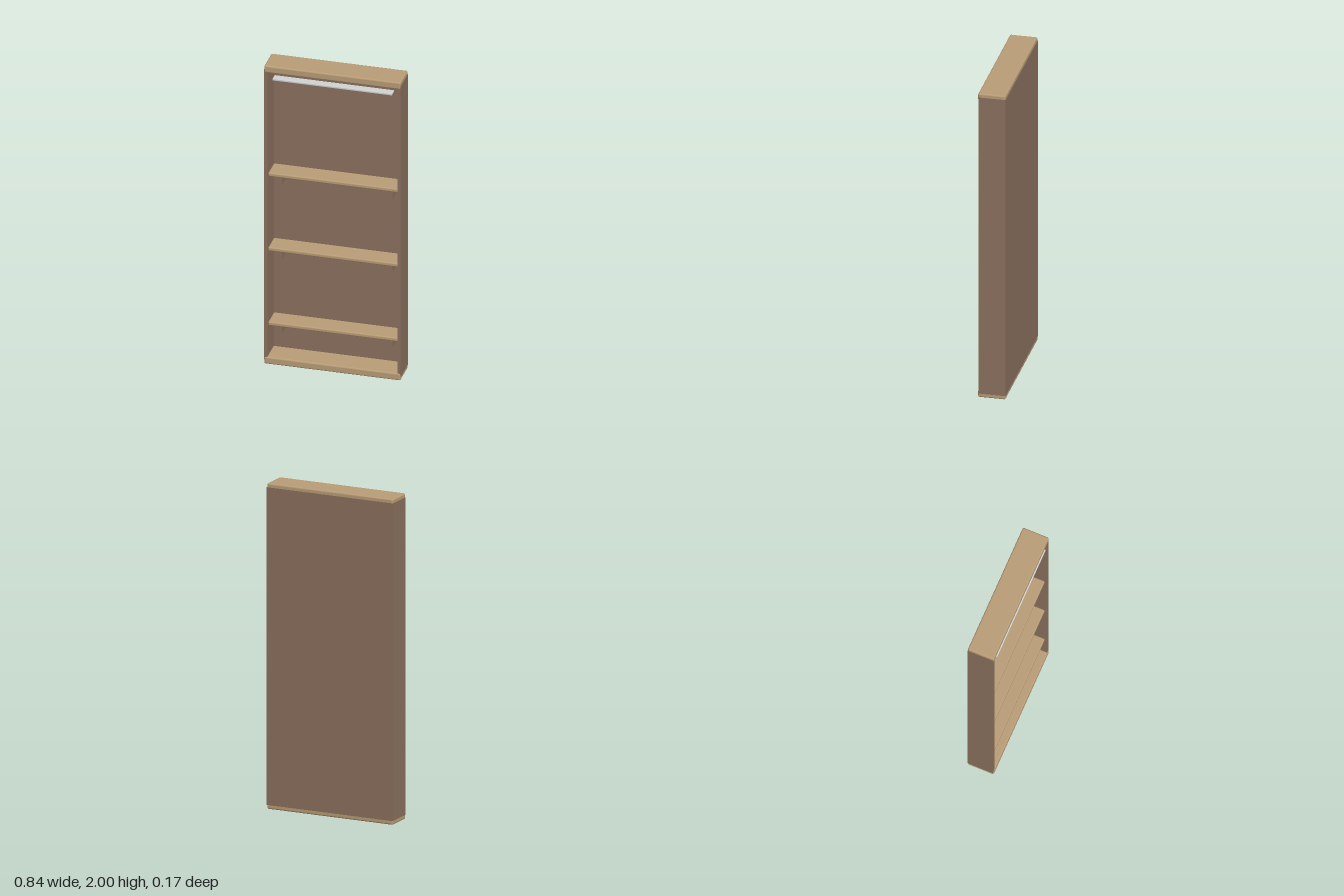
import * as THREE from 'three';
import { RoundedBoxGeometry } from 'three/addons/geometries/RoundedBoxGeometry.js';

const paleWood = new THREE.MeshStandardMaterial({ name: 'pale wood', color: 0xb89c76 });
const brownWood = new THREE.MeshStandardMaterial({ name: 'brown wood', color: 0x8a705e });
const silver = new THREE.MeshStandardMaterial({ name: 'silver', color: 0xd0d3d2 });

// Each block is given by its [min, max] extents; radius 0 makes a sharp box.
function block(parent, name, material, [x0, x1], [y0, y1], [z0, z1], radius = 0) {
  const size = [x1 - x0, y1 - y0, z1 - z0];
  const geometry = radius
    ? new RoundedBoxGeometry(...size, 3, radius)
    : new THREE.BoxGeometry(...size);
  const mesh = new THREE.Mesh(geometry, material);
  mesh.name = name;
  mesh.position.set((x0 + x1) / 2, (y0 + y1) / 2, (z0 + z1) / 2);
  parent.add(mesh);
}

export function createModel() {
  const cabinet = new THREE.Group();
  cabinet.name = 'wallCabinet';

  // Rounded top and bottom boards
  block(cabinet, 'bottomBoard', paleWood, [-0.42, 0.42], [0, 0.047], [-0.084, 0.084], 0.01);
  block(cabinet, 'topBoard', paleWood, [-0.42, 0.42], [1.953, 2], [-0.084, 0.084], 0.01);

  // Side and back panels, let into the boards
  block(cabinet, 'leftPanel', brownWood, [0.4, 0.4205], [0.025, 1.975], [-0.0845, 0.08]);
  block(cabinet, 'rightPanel', brownWood, [-0.4205, -0.4], [0.025, 1.975], [-0.0845, 0.08]);
  block(cabinet, 'backPanel', brownWood, [-0.4, 0.4], [0.025, 1.975], [-0.0845, -0.065]);

  // Shelves, each on two brackets
  [0.25, 0.75, 1.25].forEach((y, i) => {
    const shelf = new THREE.Group();
    shelf.name = `shelf${i + 1}`;
    block(shelf, 'shelfBoard', paleWood, [-0.4, 0.4], [y, y + 0.025], [-0.066, 0.066], 0.008);
    for (const x of [-0.34, 0.34]) {
      block(shelf, 'shelfBracket', brownWood, [x - 0.009, x + 0.009], [y - 0.08, y + 0.002], [-0.066, 0]);
    }
    cabinet.add(shelf);
  });

  // Slim light bar under the top board
  block(cabinet, 'lightBar', silver, [-0.368, 0.368], [1.907, 1.921], [0.035, 0.085], 0.004);

  return cabinet;
}
